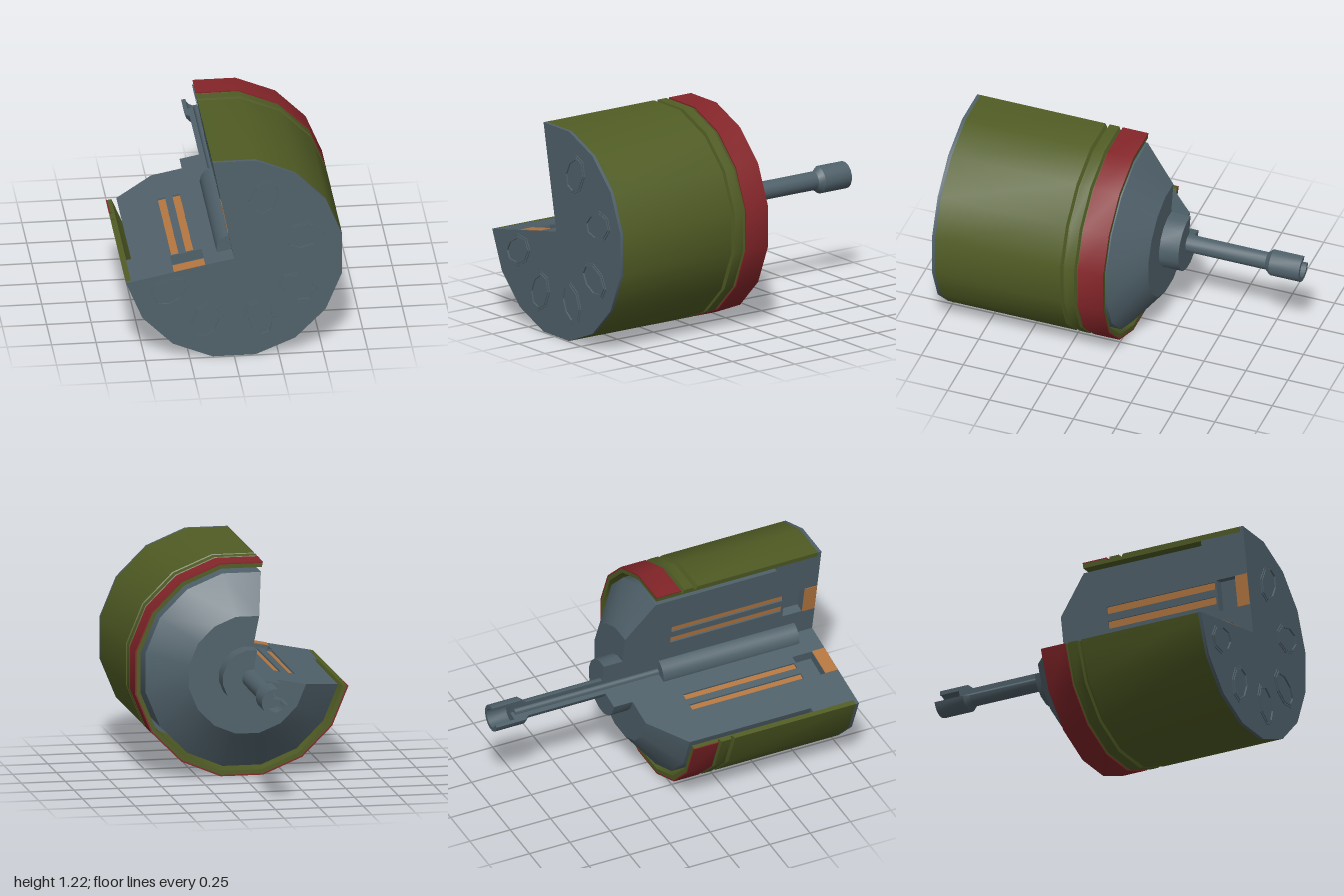
import * as THREE from 'three';
import { toCreasedNormals } from 'three/addons/utils/BufferGeometryUtils.js';

const D = Math.PI / 180;
const paint = (name, color) => new THREE.MeshStandardMaterial({ name, color, side: THREE.DoubleSide });

// the two radial cut planes: angle, and the sign of the outward normal
const CUTS = [{ angle: 191.25 * D, s: 1 }, { angle: 101.25 * D, s: -1 }];

export function createModel() {
  const steel = paint('steel grey', 0x50616a);
  const olive = paint('olive green', 0x505c24);
  const red = paint('band red', 0x842529);
  const copper = paint('copper', 0xb47640);

  const model = new THREE.Group();
  model.name = 'cutawayCylinder';
  const body = new THREE.Group();
  body.name = 'body';
  body.position.y = 0.608;
  model.add(body);

  const add = (parent, name, geometry, material) => {
    const mesh = new THREE.Mesh(geometry, material);
    mesh.name = name;
    parent.add(mesh);
    return mesh;
  };

  const rect = (r0, r1, z0, z1, Type = THREE.Shape) => new Type(
    [[r0, z0], [r1, z0], [r1, z1], [r0, z1]].map(p => new THREE.Vector2(...p)));

  // local frames on the cut planes: x = radius, y = axis
  const cutFrames = CUTS.map(({ angle, s }, i) => {
    const frame = new THREE.Group();
    frame.name = i ? 'upperCut' : 'lowerCut';
    frame.matrix.makeBasis(
      new THREE.Vector3(Math.cos(angle), Math.sin(angle), 0),
      new THREE.Vector3(0, 0, 1),
      new THREE.Vector3(Math.sin(angle), -Math.cos(angle), 0));
    frame.matrix.decompose(frame.position, frame.quaternion, frame.scale);
    body.add(frame);
    return { frame, s };
  });

  // three-quarter revolved solid from an outline of [radius, z], with flat cut faces
  function wedge(name, material, outline, holes = []) {
    const pts = outline.map(p => new THREE.Vector2(...p));
    const lathe = new THREE.LatheGeometry([...pts, pts[0].clone()], 12, -78.75 * D, 270 * D);
    lathe.rotateX(Math.PI / 2);
    add(body, name, toCreasedNormals(lathe, 30 * D), material);
    for (const { frame } of cutFrames) {
      const shape = new THREE.Shape(pts);
      holes.forEach(h => shape.holes.push(rect(...h, THREE.Path)));
      add(frame, name + 'CutFace', new THREE.ShapeGeometry(shape), material);
    }
  }

  function rod(name, r, z0, z1) {
    const g = new THREE.CylinderGeometry(r, r, z1 - z0, 16).rotateX(Math.PI / 2);
    add(body, name, toCreasedNormals(g, 30 * D), steel).position.z = (z0 + z1) / 2;
  }

  // core with slots, a pocket and a terminal opening in its cut faces
  const slots = [[0.295, 0.337, 0.09, 0.78], [0.21, 0.253, 0.09, 0.78]];
  const pocket = [0.165, 0.345, 0.79, 0.91];
  wedge('core', steel, [[0, -0.2], [0.34, -0.2], [0.56, -0.03], [0.56, 0.72], [0.59, 0.72],
    [0.59, 0.97], [0.62, 0.97], [0.62, 0.99], [0, 0.99]], [...slots, pocket]);

  // recess walls and floors, and the flush copper terminals
  for (const { frame, s } of cutFrames) {
    const recess = (name, [r0, r1, z0, z1], depth, floorMat) => {
      const ring = rect(r0 - 0.004, r1 + 0.004, z0 - 0.004, z1 + 0.004);
      ring.holes.push(rect(r0, r1, z0, z1, THREE.Path));
      const walls = new THREE.ExtrudeGeometry(ring, { depth: depth - 0.001, bevelEnabled: false });
      add(frame, name + 'Walls', walls, steel).position.z = s > 0 ? -depth : 0.001;
      add(frame, name + 'Floor', new THREE.BoxGeometry(r1 - r0, z1 - z0, 0.006), floorMat)
        .position.set((r0 + r1) / 2, (z0 + z1) / 2, -s * depth);
    };
    slots.forEach(slot => recess('slot', slot, 0.014, copper));
    recess('pocket', pocket, 0.06, steel);
    add(frame, 'terminal', new THREE.BoxGeometry(0.18, 0.077, 0.008), copper)
      .position.set(0.255, 0.9495, -s * 0.001);
  }

  // outer shell with two grooves and a step for the band
  wedge('shell', olive, [[0.588, -0.03], [0.614, -0.03], [0.614, 0.12], [0.598, 0.125], [0.598, 0.132],
    [0.62, 0.142], [0.62, 0.2], [0.598, 0.205], [0.598, 0.213], [0.62, 0.225], [0.62, 0.97], [0.588, 0.97]]);
  wedge('band', red, [[0.612, -0.031], [0.62, -0.031], [0.62, 0.122], [0.612, 0.122]]);

  // rear hub, hollow shaft and socket end
  wedge('hub', steel, [[0, -0.315], [0.165, -0.315], [0.165, -0.2], [0, -0.2]]);
  wedge('shaft', steel, [[0.022, -0.82], [0.053, -0.82], [0.053, -0.315], [0.022, -0.315]]);
  wedge('socket', steel, [[0, -0.88], [0.055, -0.88], [0.055, -1], [0.078, -1],
    [0.078, -0.82], [0.053, -0.79], [0, -0.79]]);

  // inner rods exposed by the cut
  rod('plunger', 0.087, 0.03, 0.87);
  rod('innerRod', 0.024, -0.86, 0.04);

  // raised eight-sided rims on the front face
  const octagon = (a, b, Type) => new Type(Array.from({ length: 8 }, (_, i) => {
    const t = (22.5 + 45 * i) * D;
    return new THREE.Vector2(a * Math.cos(t), b * Math.sin(t));
  }));
  for (const deg of [64.4, 17, -29.6, -69.4, -112, -152.5]) {
    const port = new THREE.Group();
    port.name = 'frontPort';
    port.position.set(0.41 * Math.cos(deg * D), 0.41 * Math.sin(deg * D), 0.98);
    port.rotation.z = deg * D;
    body.add(port);
    [[0.125, 0.09, 0.015], [0.112, 0.078, 0.02]].forEach(([a, b, depth], i) => {
      const ring = octagon(a, b, THREE.Shape);
      ring.holes.push(octagon(a - 0.014, b - 0.013, THREE.Path));
      add(port, i ? 'innerRim' : 'outerRim',
        new THREE.ExtrudeGeometry(ring, { depth, bevelEnabled: false }), steel);
    });
  }
  return model;
}
